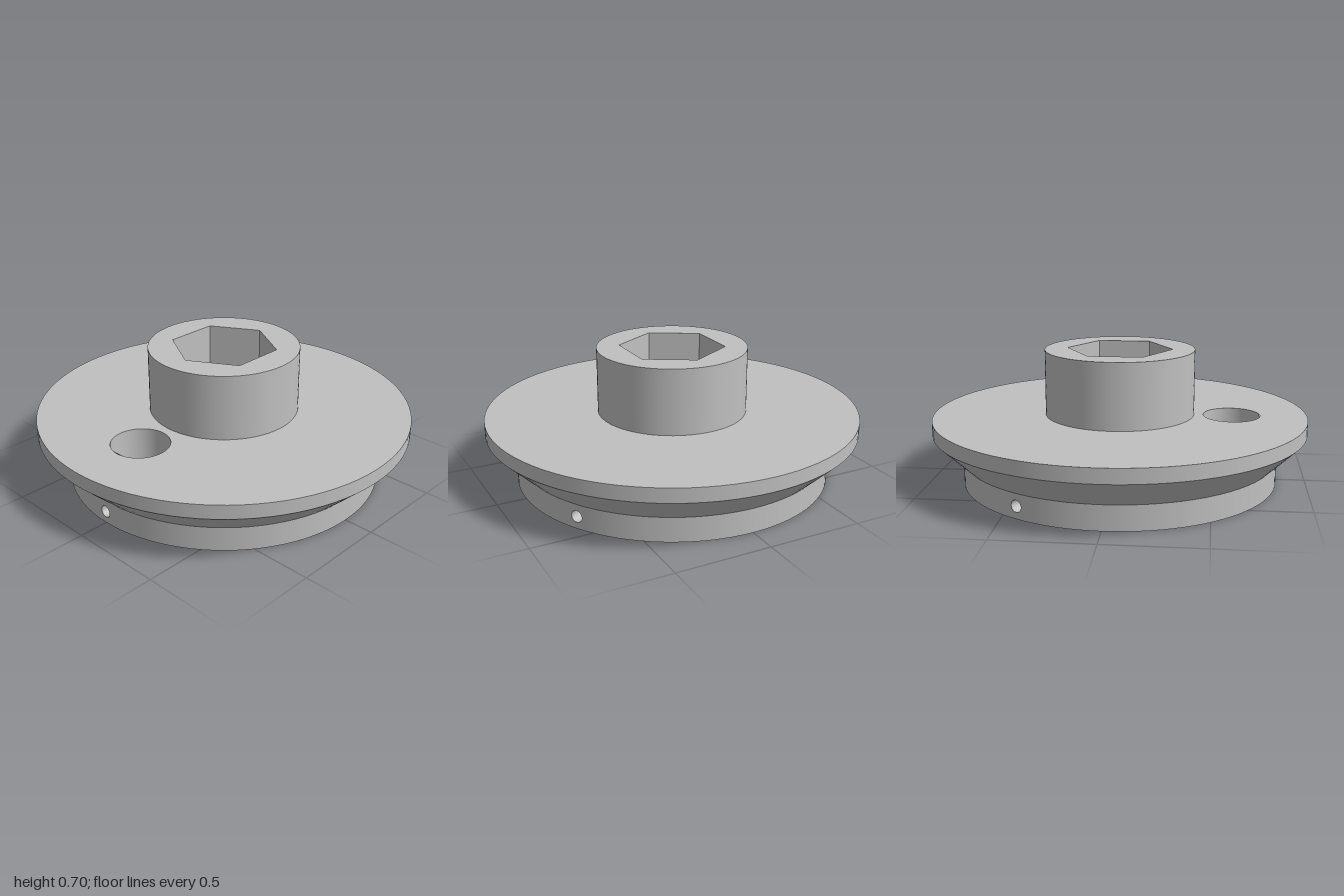
import * as THREE from 'three';
import { mergeGeometries } from 'three/addons/utils/BufferGeometryUtils.js';

const SEG = 96;
const BASE_R = 0.845, RIM_R = 1, HUB_R = 0.4, BORE_R = 0.158, HEX_R = 0.281;
const BASE_TOP = 0.13, RIM_LOW = 0.28, RIM_TOP = 0.355, HUB_TOP = 0.705, HEX_FLOOR = 0.35;
const SIDE_X = -0.6, SIDE_R = 0.151;          // off-centre through hole
const PIN_R = 0.031, PIN_Y = 0.065, PIN_DEPTH = 0.2;
const PIN_ANGLES = [Math.PI / 6, Math.PI * 5 / 6, Math.PI * 3 / 2];

// open band of a cone or cylinder
function band(rTop, rBottom, y0, y1, start = 0, length = Math.PI * 2, seg = SEG) {
  const n = Math.max(3, Math.round(seg * length / (Math.PI * 2)));
  return new THREE.CylinderGeometry(rTop, rBottom, y1 - y0, n, 1, true, start, length)
    .translate(0, (y0 + y1) / 2, 0);
}

// cylinder wall pierced by round radial holes: bent patches with plain bands between
function piercedWall(r, y0, y1, angles, half) {
  const parts = [];
  angles.forEach((a, i) => {
    const next = i + 1 < angles.length ? angles[i + 1] : angles[0] + Math.PI * 2;
    parts.push(band(r, r, y0, y1, a + half, next - a - half * 2));

    const patch = new THREE.Shape([[-half, y0], [half, y0], [half, y1], [-half, y1]]
      .map(([u, v]) => new THREE.Vector2(u, v)));
    const ring = [];
    for (let k = 0; k < 24; k++) {
      const t = k / 24 * Math.PI * 2;
      ring.push(new THREE.Vector2(Math.asin(PIN_R * Math.cos(t) / r), PIN_Y + PIN_R * Math.sin(t)));
    }
    patch.holes.push(new THREE.Path(ring));
    const g = new THREE.ShapeGeometry(patch);
    const p = g.attributes.position, n = g.attributes.normal;
    for (let k = 0; k < p.count; k++) {
      const t = a + p.getX(k);
      p.setXYZ(k, r * Math.sin(t), p.getY(k), r * Math.cos(t));
      n.setXYZ(k, Math.sin(t), 0, Math.cos(t));
    }
    parts.push(g);
  });
  return mergeGeometries(parts);
}

const circle = (r, x = 0) => new THREE.Path().absarc(x, 0, r, 0, Math.PI * 2);
const hexagon = () => new THREE.Path(Array.from({ length: 6 }, (_, i) =>
  new THREE.Vector2(HEX_R * Math.cos(i * Math.PI / 3), HEX_R * Math.sin(i * Math.PI / 3))));

// horizontal face with openings, facing up or down
function plate(outline, holes, y, down = false) {
  const shape = new THREE.Shape(outline.getPoints(SEG / 2));
  shape.holes.push(...holes);
  return new THREE.ShapeGeometry(shape, SEG / 2)
    .rotateX(down ? Math.PI / 2 : -Math.PI / 2).translate(0, y, 0);
}

export function createModel() {
  const model = new THREE.Group();
  model.name = 'flangedHub';
  const metal = new THREE.MeshStandardMaterial({ color: 0xc0c0c0, side: THREE.DoubleSide });
  metal.name = 'light grey metal';
  const add = (name, geometry) => {
    const mesh = new THREE.Mesh(geometry, metal);
    mesh.name = name;
    model.add(mesh);
    return mesh;
  };

  // base, flare and rim
  add('baseUnderside', plate(circle(BASE_R), [circle(BORE_R), circle(SIDE_R, SIDE_X)], 0, true));
  add('baseWall', piercedWall(BASE_R, 0, BASE_TOP, PIN_ANGLES, 0.06));
  add('flare', band(RIM_R, BASE_R, BASE_TOP, RIM_LOW));
  add('rim', band(RIM_R, RIM_R, RIM_LOW, RIM_TOP));
  add('flangeTop', plate(circle(RIM_R), [circle(HUB_R), circle(SIDE_R, SIDE_X)], RIM_TOP));

  // hub with hexagonal socket and bore
  add('hubWall', band(HUB_R, HUB_R, RIM_TOP, HUB_TOP));
  add('hubTop', plate(circle(HUB_R), [hexagon()], HUB_TOP));
  const socket = band(HEX_R, HEX_R, HEX_FLOOR, HUB_TOP, Math.PI / 2, Math.PI * 2, 6).toNonIndexed();
  socket.computeVertexNormals();
  add('socketWall', socket);
  add('socketFloor', plate(hexagon(), [circle(BORE_R)], HEX_FLOOR));
  add('bore', band(BORE_R, BORE_R, 0, HEX_FLOOR));

  // off-centre through hole, met by one of the pin holes
  add('sideHole', piercedWall(SIDE_R, 0, RIM_TOP, [PIN_ANGLES[2]], 0.25)).position.x = SIDE_X;

  // radial pin holes in the base wall
  const outer = Math.sqrt(BASE_R ** 2 - PIN_R ** 2);
  PIN_ANGLES.forEach((a, i) => {
    const open = i === 2;
    const inner = open ? -SIDE_X + Math.sqrt(SIDE_R ** 2 - PIN_R ** 2) : outer - PIN_DEPTH;
    const tube = new THREE.CylinderGeometry(PIN_R, PIN_R, outer - inner, 24, 1, true)
      .rotateX(Math.PI / 2).translate(0, PIN_Y, (outer + inner) / 2);
    add('pinHole', tube).rotation.y = a;
    if (!open) {
      add('pinHoleEnd', new THREE.CircleGeometry(PIN_R, 24).translate(0, PIN_Y, inner)).rotation.y = a;
    }
  });
  return model;
}
